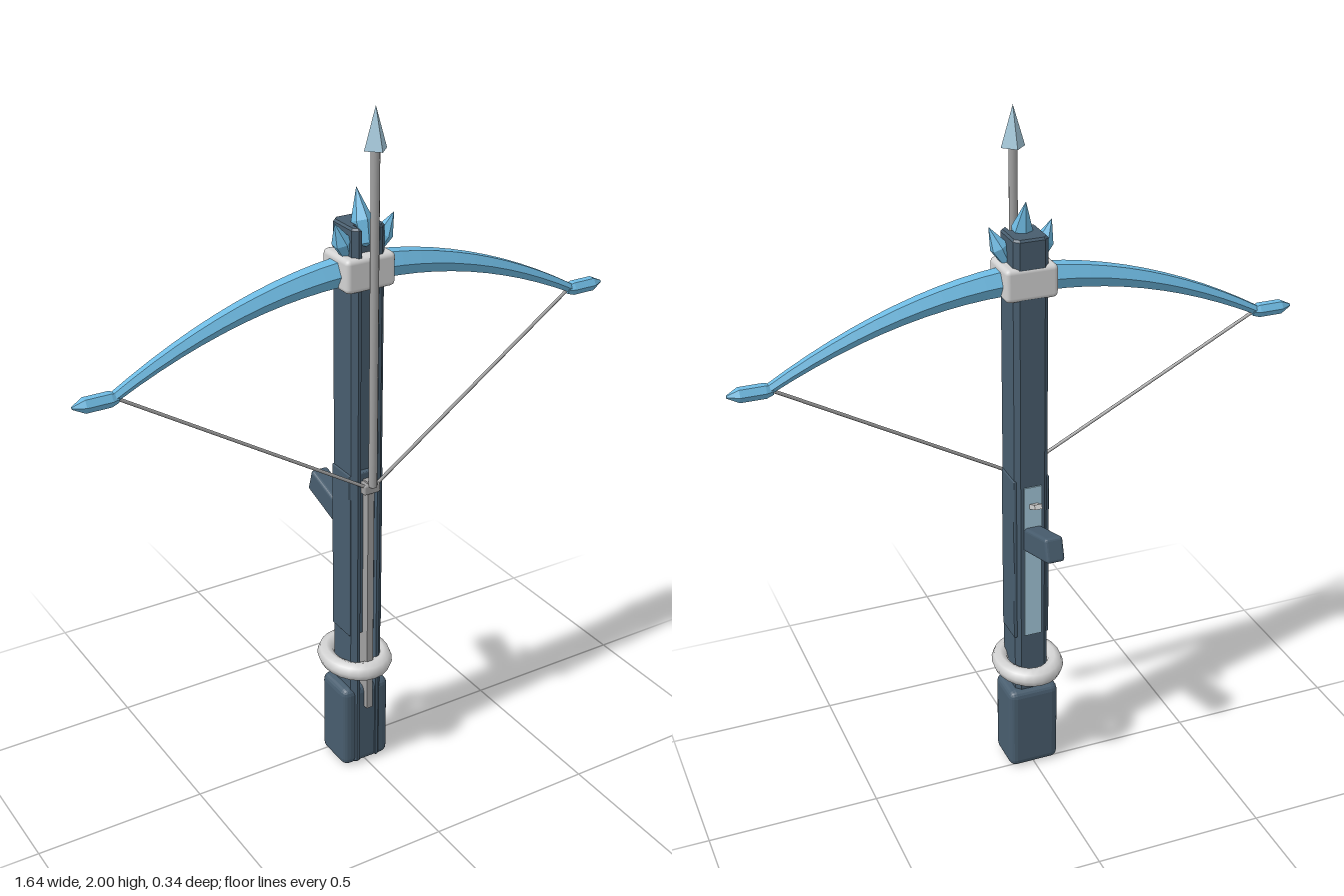
import * as THREE from 'three';
import { RoundedBoxGeometry } from 'three/addons/geometries/RoundedBoxGeometry.js';

const material = (name, color, flatShading = true) => {
  const m = new THREE.MeshStandardMaterial({ color, flatShading });
  m.name = name;
  return m;
};

export function createModel() {
  const slate = material('slate', 0x485d6e);
  const blue = material('ice blue', 0x6ebae2);
  const pale = material('pale blue', 0xa2c6d8);
  const silver = material('silver', 0xd2d2d2, false);
  const steel = material('steel', 0xa0a0a0, false);

  const model = new THREE.Group();
  model.name = 'crossbow';
  const add = (name, geometry, mat, x = 0, y = 0, z = 0) => {
    const mesh = new THREE.Mesh(geometry, mat);
    mesh.name = name;
    mesh.position.set(x, y, z);
    model.add(mesh);
    return mesh;
  };
  // Box given by its limits on y and z, centred on x
  const block = (name, w, y0, y1, z0, z1, mat, r = 0) => add(name,
    r ? new RoundedBoxGeometry(w, y1 - y0, z1 - z0, 2, r) : new THREE.BoxGeometry(w, y1 - y0, z1 - z0),
    mat, 0, (y0 + y1) / 2, (z0 + z1) / 2);
  // Turns a mesh built along +y so that it runs from a to b
  const aim = (mesh, a, b) => {
    mesh.position.copy(a);
    mesh.quaternion.setFromUnitVectors(new THREE.Vector3(0, 1, 0), b.clone().sub(a).normalize());
    return mesh;
  };
  const V = (x, y, z) => new THREE.Vector3(x, y, z);

  // Stock: a long chamfered bar with a groove along its front
  const hx = 0.05, hz = 0.059, c = 0.014, g = 0.027, d = 0.03;
  const section = new THREE.Shape([
    [hx, -hz + c], [hx, hz - c], [hx - c, hz], [-hx + c, hz],
    [-hx, hz - c], [-hx, -hz + c], [-hx + c, -hz],
    [-g, -hz], [-g, -hz + d], [g, -hz + d], [g, -hz], [hx - c, -hz],
  ].map(([x, y]) => new THREE.Vector2(x, y)));
  const bar = new THREE.ExtrudeGeometry(section, {
    depth: 1.66, bevelEnabled: true, bevelThickness: 0.006, bevelSize: 0.005, bevelOffset: -0.005, bevelSegments: 1,
  });
  bar.rotateX(-Math.PI / 2);
  add('stock', bar, slate, 0, 0.014, 0.06);
  block('stockSidePlates', 0.108, 0.45, 0.97, 0.01, 0.104, slate, 0.004);
  block('butt', 0.154, 0, 0.27, -0.017, 0.114, slate, 0.022);

  // Inlays in the groove and on the back of the stock
  block('frontInlay', 0.053, 0.46, 0.95, 0.087, 0.095, pale);
  block('backInlay', 0.052, 0.46, 0.95, -0.003, 0.004, pale);

  // Bolt rail and string catch
  block('boltRail', 0.02, 0.2, 0.95, 0.09, 0.13, steel);
  block('stringCatch', 0.052, 0.915, 0.945, 0.1, 0.137, steel, 0.006);

  // Oval ring around the stock
  const ring = new THREE.TorusGeometry(0.087, 0.027, 8, 24);
  ring.rotateX(Math.PI / 2);
  ring.scale(0.91, 1, 1.09);
  add('ring', ring, silver, 0, 0.34, 0.045);

  // Clamp holding the bow
  block('bowClamp', 0.15, 1.508, 1.602, -0.002, 0.127, silver, 0.014);

  // Bow: six-sided section swept along the arc, thinner to the ends
  const stations = 24, pos = [], index = [];
  for (let i = 0; i <= stations; i++) {
    const t = (i / stations) * 2 - 1, s = Math.abs(t);
    const y = 1.553 - 0.203 * Math.pow(s, 1.9);
    const slope = -0.55 * Math.sign(t) * Math.pow(s, 0.9);
    const n = Math.hypot(1, slope);
    const ry = 0.043 - 0.029 * s, rz = 0.041 - 0.026 * s;
    for (let k = 0; k < 6; k++) {
      const a = (k * Math.PI) / 3, h = ry * Math.sin(a);
      pos.push(0.71 * t - (h * slope) / n, y + h / n, 0.06 + rz * Math.cos(a));
    }
  }
  for (let i = 0; i < stations; i++) {
    for (let k = 0; k < 6; k++) {
      const a = i * 6 + k, b = i * 6 + (k + 1) % 6;
      index.push(a, a + 6, b, b, a + 6, b + 6);
    }
  }
  const bow = new THREE.BufferGeometry();
  bow.setAttribute('position', new THREE.Float32BufferAttribute(pos, 3));
  bow.setIndex(index);
  bow.computeVertexNormals();
  add('bow', bow, blue);

  // Bow tips, string halves and side crystals, mirrored
  const lathe = (points, sides) =>
    new THREE.LatheGeometry(points.map(([r, y]) => new THREE.Vector2(r, y)), sides);
  const crystal = (name, a, b, r) => {
    const l = a.distanceTo(b);
    aim(add(name, lathe([[0, 0], [r * 0.65, 0.01], [r, l * 0.45], [0, l]], 6), blue), a, b);
  };
  for (const side of [1, -1]) {
    const word = side > 0 ? 'left' : 'right';
    const tip = lathe([[0, 0], [0.014, 0], [0.021, 0.02], [0.021, 0.09], [0.004, 0.122], [0, 0.122]], 6);
    aim(add(word + 'BowTip', tip, blue), V(side * 0.698, 1.348, 0.06), V(side * 0.82, 1.348, 0.06));

    const from = V(side * 0.7, 1.345, 0.06), to = V(0, 0.928, 0.13);
    const string = new THREE.CylinderGeometry(0.005, 0.005, from.distanceTo(to), 8);
    string.translate(0, from.distanceTo(to) / 2, 0);
    aim(add(word + 'String', string, steel), from, to);

    crystal(word + 'Crystal', V(side * 0.042, 1.595, 0.072), V(side * 0.09, 1.697, 0.088), 0.027);
  }
  crystal('topCrystal', V(0, 1.62, 0.098), V(0, 1.768, 0.047), 0.029);

  // Bolt
  add('boltShaft', new THREE.CylinderGeometry(0.012, 0.012, 0.96, 12), steel, 0, 1.42, 0.138);
  add('boltHead', new THREE.ConeGeometry(0.034, 0.112, 4), pale, 0, 1.944, 0.138);

  // Grip and trigger on the back
  const grip = add('grip', new RoundedBoxGeometry(0.054, 0.072, 0.2, 2, 0.009), slate, 0, 0.804, -0.068);
  grip.rotation.x = 0.3;
  const trigger = add('trigger', new THREE.BoxGeometry(0.022, 0.014, 0.07), silver, 0, 0.893, -0.01);
  trigger.rotation.x = 0.42;

  return model;
}
